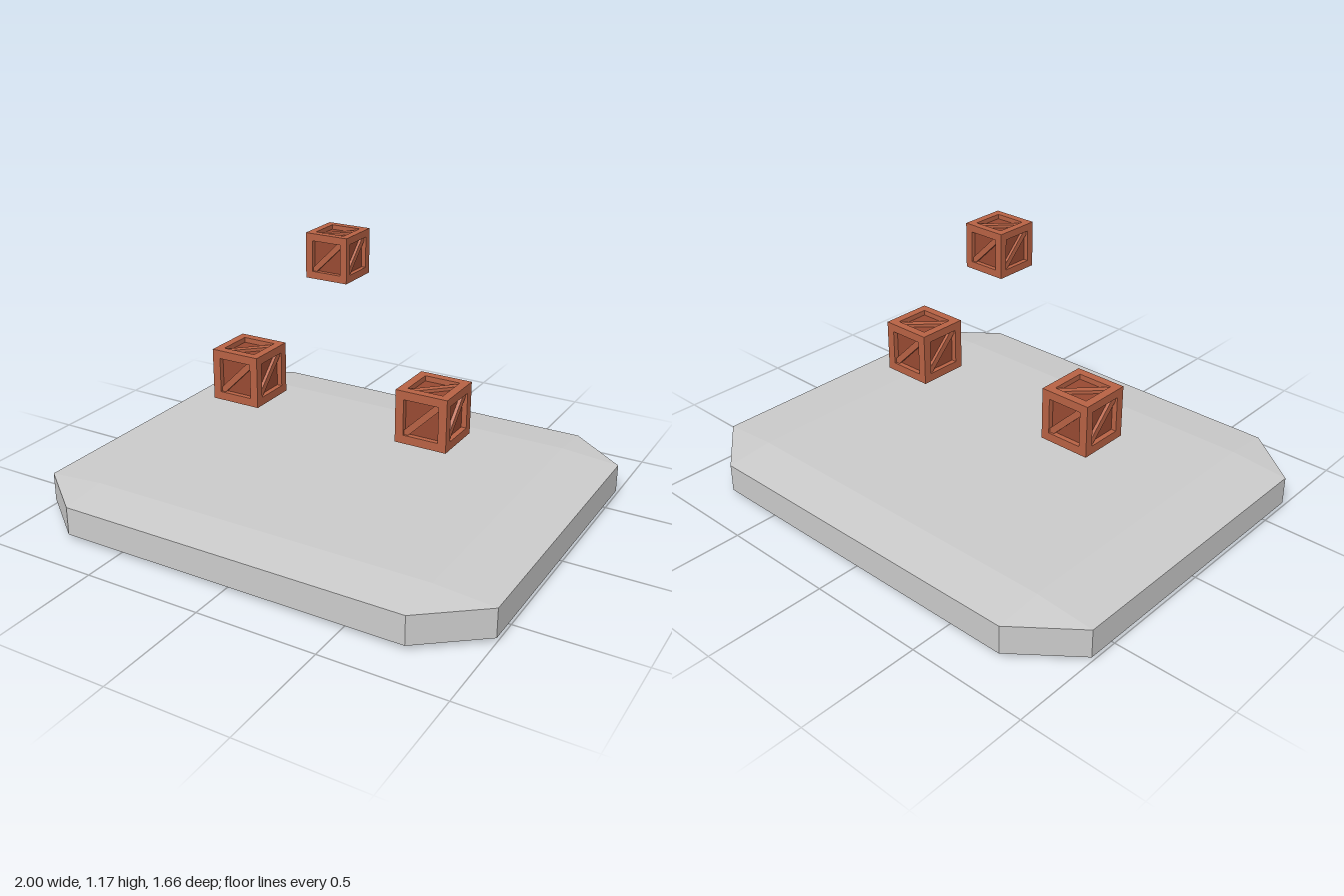
import * as THREE from 'three';

const stone = new THREE.MeshStandardMaterial({ color: 0xcccccc, flatShading: true });
const frameWood = new THREE.MeshStandardMaterial({ color: 0xb86244 });
const panelWood = new THREE.MeshStandardMaterial({ color: 0x984a32 });

function add(parent, name, geometry, material) {
  const mesh = new THREE.Mesh(geometry, material);
  mesh.name = name;
  parent.add(mesh);
  return mesh;
}

// Slab with cut corners, bevelled gently towards a raised middle above and below
function platformGeometry() {
  const ix = 0.75, iz = 0.63, ox = 1, oz = 0.83;
  const rim = [[ix, oz], [ox, iz], [ox, -iz], [ix, -oz], [-ix, -oz], [-ox, -iz], [-ox, iz], [-ix, oz]];
  const inner = rim.map(([x, z]) => [Math.sign(x) * ix, Math.sign(z) * iz]);
  const loops = [[inner, 0], [rim, 0.02], [rim, 0.14], [inner, 0.16]];
  const positions = loops.flatMap(([loop, y]) => loop.flatMap(([x, z]) => [x, y, z]));
  const index = [];
  for (let l = 0; l < 3; l++) {
    for (let i = 0; i < 8; i++) {
      const j = (i + 1) % 8, a = l * 8 + i, b = l * 8 + j;
      const same = (loop) => loop[i][0] === loop[j][0] && loop[i][1] === loop[j][1];
      // inner corners coincide, so the bevel there is a single triangle
      if (!same(loops[l][0])) index.push(a, b, b + 8);
      if (!same(loops[l + 1][0])) index.push(a, b + 8, a + 8);
    }
  }
  // flat middle, top and bottom
  index.push(24, 26, 28, 24, 28, 30, 0, 4, 2, 0, 6, 4);
  const geometry = new THREE.BufferGeometry();
  geometry.setAttribute('position', new THREE.Float32BufferAttribute(positions, 3));
  geometry.setIndex(index);
  const flat = geometry.toNonIndexed();
  flat.computeVertexNormals();
  return flat;
}

// Unit crate: twelve edge beams, a recessed core and a diagonal brace on each face
function createCrate() {
  const crate = new THREE.Group();
  const beam = 0.16, off = 0.5 - beam / 2, gap = 1 - 2 * beam;
  const core = 0.4, w = gap / 2, d = 0.085;

  add(crate, 'panels', new THREE.BoxGeometry(2 * core, 2 * core, 2 * core), panelWood);

  for (const s of [-1, 1]) {
    for (const t of [-1, 1]) {
      add(crate, 'uprightBeam', new THREE.BoxGeometry(beam, 1, beam), frameWood).position.set(s * off, 0, t * off);
      add(crate, 'crossBeam', new THREE.BoxGeometry(gap, beam, beam), frameWood).position.set(0, s * off, t * off);
      add(crate, 'sideBeam', new THREE.BoxGeometry(beam, beam, gap), frameWood).position.set(s * off, t * off, 0);
    }
  }

  const outline = [[-w, -w], [d - w, -w], [w, w - d], [w, w], [w - d, w], [-w, d - w]];
  const shape = new THREE.Shape(outline.map(([x, y]) => new THREE.Vector2(x, y)));
  const braceGeometry = new THREE.ExtrudeGeometry(shape, { depth: 0.06, bevelEnabled: false });
  braceGeometry.translate(0, 0, core);
  const turns = [[0, 0], [0, 1], [0, 2], [0, 3], [-1, 0], [1, 0]];
  for (const [rx, ry] of turns) {
    add(crate, 'diagonalBrace', braceGeometry, frameWood).rotation.set(rx * Math.PI / 2, ry * Math.PI / 2, 0);
  }
  return crate;
}

export function createModel() {
  const model = new THREE.Group();
  model.name = 'platformWithCrates';
  add(model, 'platform', platformGeometry(), stone);

  // Floating crates: name, x, y, size
  const crates = [['leftCrate', 0.432, 0.5, 0.22], ['rightCrate', -0.432, 0.5, 0.22], ['topCrate', 0, 1.08, 0.18]];
  for (const [name, x, y, size] of crates) {
    const crate = createCrate();
    crate.name = name;
    crate.position.set(x, y, 0);
    crate.scale.setScalar(size);
    model.add(crate);
  }
  return model;
}
